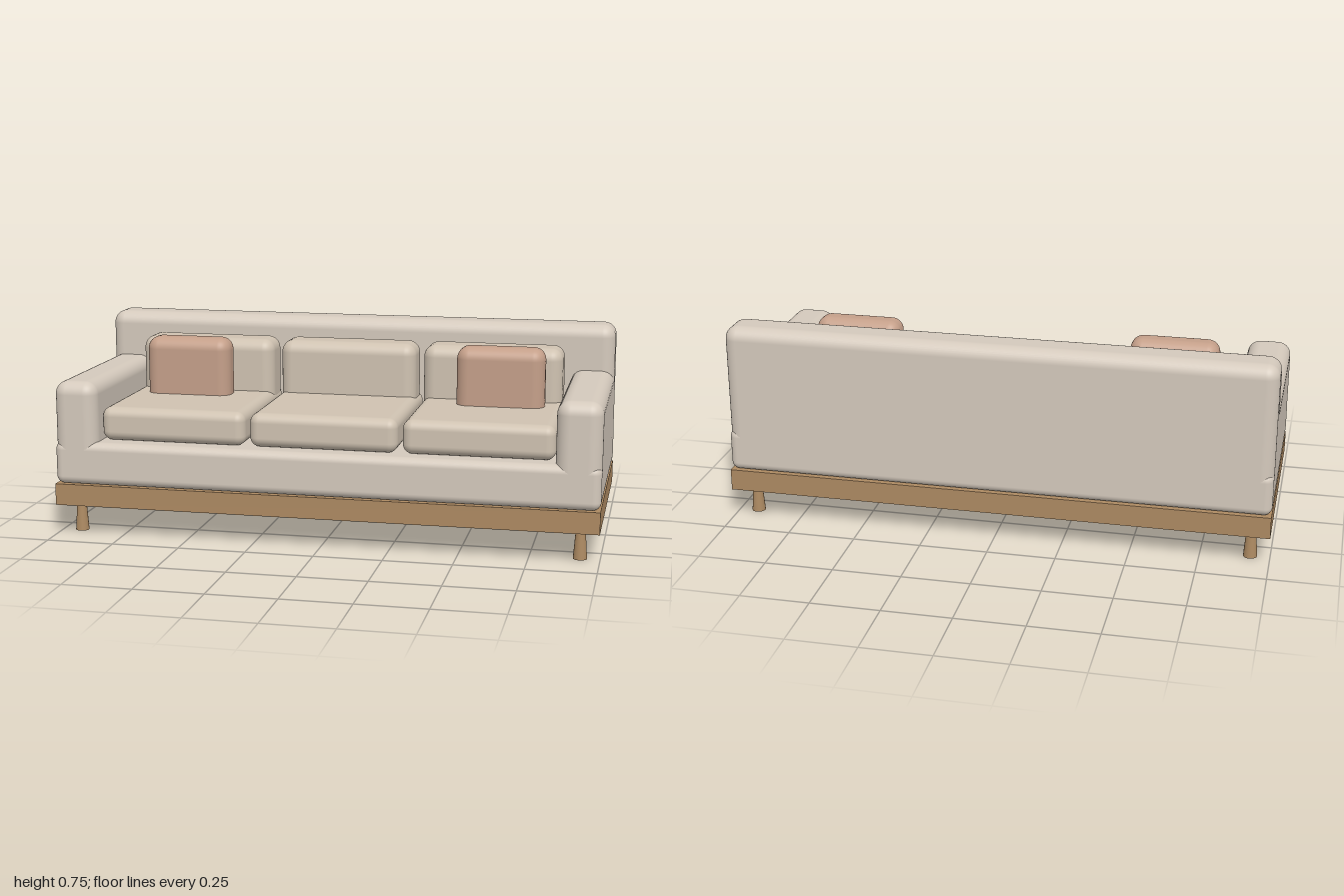
import * as THREE from 'three';
import { RoundedBoxGeometry } from 'three/addons/geometries/RoundedBoxGeometry.js';

const mat = (color) => new THREE.MeshStandardMaterial({ color });

export function createModel() {
  const sofa = new THREE.Group();
  sofa.name = 'sofa';
  const fabric = mat(0xd4c9bc);
  const cushionFabric = mat(0xcfc2b1);
  const pillowFabric = mat(0xc49f89);
  const wood = mat(0xad8a62);

  function add(name, geometry, material, x, y, z) {
    const mesh = new THREE.Mesh(geometry, material);
    mesh.name = name;
    mesh.position.set(x, y, z);
    sofa.add(mesh);
  }

  // Soft block given by its [min, max] extents on each axis
  function soft(name, material, [x0, x1], [y0, y1], [z0, z1], radius) {
    const geometry = new RoundedBoxGeometry(x1 - x0, y1 - y0, z1 - z0, 5, radius);
    add(name, geometry, material, (x0 + x1) / 2, (y0 + y1) / 2, (z0 + z1) / 2);
  }

  // Wooden plinth and upholstered body
  add('plinth', new THREE.BoxGeometry(2, 0.08, 0.816), wood, 0, 0.151, 0);
  soft('seatBase', fabric, [-1, 1], [0.191, 0.35], [-0.408, 0.408], 0.03);
  soft('backrest', fabric, [-1, 1], [0.191, 0.747], [-0.408, -0.246], 0.048);

  // Three seat cushions, each with a back cushion
  for (const i of [-1, 0, 1]) {
    const seatX = i * 0.5625, backX = i * 0.555;
    soft('seatCushion', cushionFabric, [seatX - 0.2725, seatX + 0.2725], [0.35, 0.475], [-0.246, 0.353], 0.035);
    soft('backCushion', cushionFabric, [backX - 0.2625, backX + 0.2625], [0.4, 0.675], [-0.244, -0.082], 0.045);
  }

  // Mirrored arms, throw pillows and legs (flared towards the floor)
  for (const side of [-1, 1]) {
    const span = (a, b) => (side > 0 ? [a, b] : [-b, -a]);
    soft(side > 0 ? 'leftArm' : 'rightArm', fabric, span(0.838, 1), [0.191, 0.574], [-0.408, 0.408], 0.048);
    soft('throwPillow', pillowFabric, span(0.435, 0.762), [0.42, 0.692], [-0.076, 0.041], 0.046);
    for (const end of [-1, 1]) {
      add(end > 0 ? 'frontLeg' : 'backLeg', new THREE.CylinderGeometry(0.017, 0.025, 0.111, 20), wood,
        side * 0.929, 0.0555, end * 0.328);
    }
  }
  return sofa;
}
